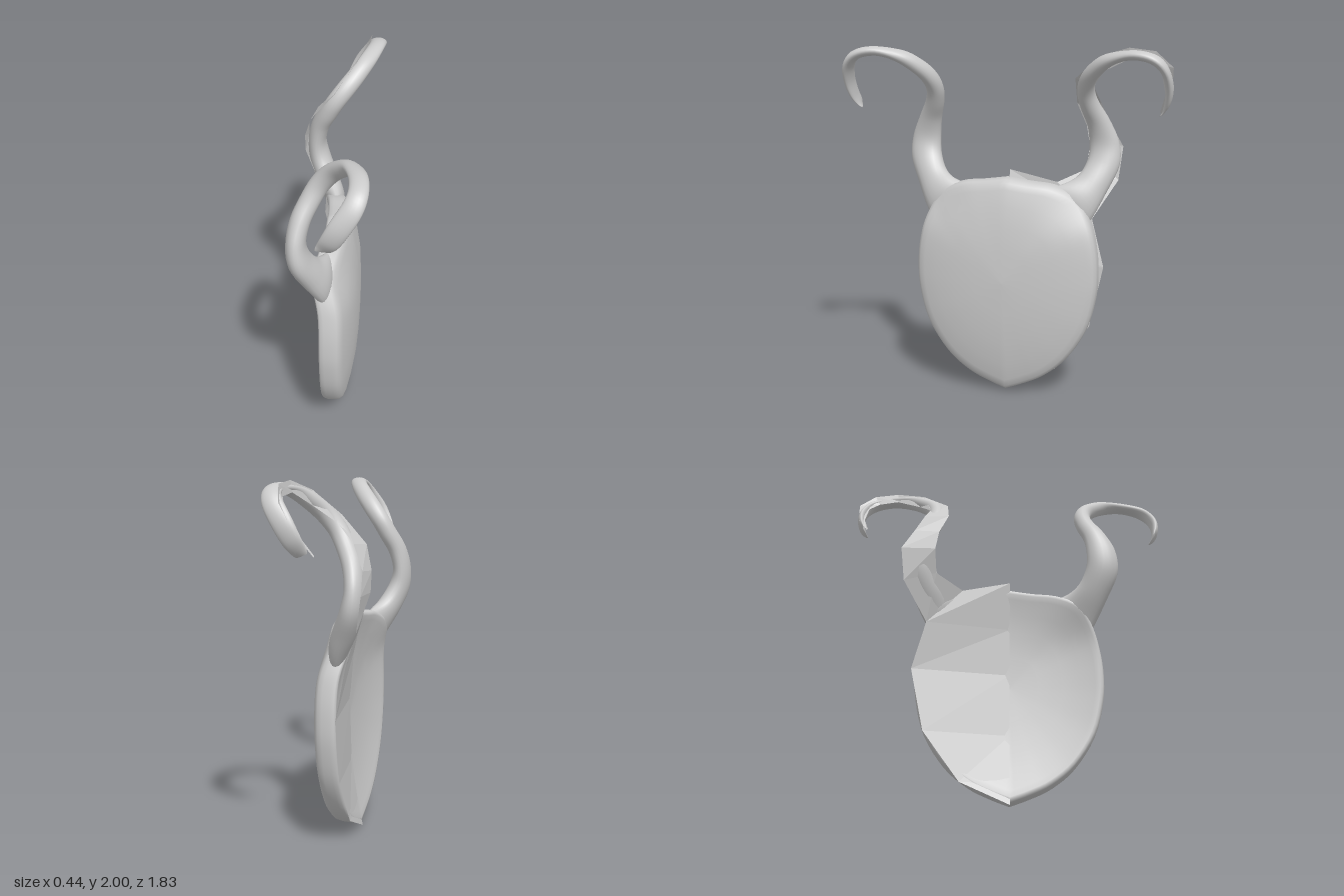
import * as THREE from 'three';

const material = new THREE.MeshStandardMaterial({ color: 0xcccccc, side: THREE.DoubleSide });
const facetMaterial = new THREE.MeshStandardMaterial({ color: 0xcccccc, side: THREE.DoubleSide, flatShading: true });

// Skin a list of rings (equal point counts) into a surface.
function skin(name, rings, closed, flip, mat) {
  const n = rings[0].length, index = [];
  for (let i = 0; i < rings.length - 1; i++) {
    for (let j = 0; j < (closed ? n : n - 1); j++) {
      const k = (j + 1) % n;
      const a = i * n + j, b = i * n + k, c = a + n, d = b + n;
      if (flip) index.push(a, c, b, b, c, d);
      else index.push(a, b, c, b, d, c);
    }
  }
  const geometry = new THREE.BufferGeometry().setFromPoints(rings.flat());
  geometry.setIndex(index);
  geometry.computeVertexNormals();
  const mesh = new THREE.Mesh(geometry, mat);
  mesh.name = name;
  return mesh;
}

const curve = (pts) => new THREE.CatmullRomCurve3(pts.map((p) => new THREE.Vector3(...p)), false, 'catmullrom');

// Shield-shaped plaque: outline rings shrinking towards a domed front and a dished back.
function makePlaque() {
  const half = curve([
    [0, 0.01, 0], [0, 0.05, 0.105], [0, 0.11, 0.225], [0, 0.22, 0.352], [0, 0.4, 0.465], [0, 0.6, 0.517],
    [0, 0.76, 0.525], [0, 0.9, 0.51], [0, 1.03, 0.475], [0, 1.16, 0.4], [0, 1.228, 0.27], [0, 1.248, 0.13], [0, 1.267, 0],
  ]).getPoints(48);
  const mirrored = half.slice(1, -1).reverse().map((p) => new THREE.Vector3(0, p.y, -p.z));
  const outline = [...half, ...mirrored];
  const centreY = 0.68;
  const profile = [ // scale, x
    [0, 0.015], [0.3, 0.01], [0.55, -0.005], [0.75, -0.025], [0.9, -0.047], [0.95, -0.055], [0.975, -0.054],
    [0.99, -0.045], [1, -0.025], [1, 0.02], [0.99, 0.045], [0.96, 0.062], [0.9, 0.076], [0.75, 0.097],
    [0.55, 0.117], [0.3, 0.13], [0, 0.135],
  ];
  const rings = profile.map(([s, x]) => outline.map((p) => {
    const y = centreY + (p.y - centreY) * s, z = p.z * s;
    // Shoulders lean back into the horns
    const lean = 0.05 * Math.exp(-(((y - 1.17) / 0.15) ** 2)) * Math.min(1, (z / 0.4) ** 2);
    return new THREE.Vector3(x - lean, y, z);
  }));
  return skin('plaque', rings, true, false, material);
}

// Horn stations: inner edge (z, y), outer edge (z, y), x of the middle, half width.
const HORN = [
  [0.22, 1.21, 0.42, 0.96, -0.02, 0.03],
  [0.32, 1.237, 0.48, 1.05, -0.045, 0.056],
  [0.39, 1.28, 0.545, 1.18, -0.095, 0.064],
  [0.43, 1.36, 0.61, 1.33, -0.145, 0.06],
  [0.437, 1.45, 0.605, 1.46, -0.16, 0.052],
  [0.425, 1.56, 0.555, 1.58, -0.138, 0.052],
  [0.395, 1.66, 0.5, 1.68, -0.09, 0.052],
  [0.383, 1.75, 0.48, 1.75, -0.045, 0.052],
  [0.405, 1.83, 0.495, 1.815, 0.01, 0.052],
  [0.46, 1.9, 0.54, 1.865, 0.065, 0.05],
  [0.55, 1.96, 0.61, 1.915, 0.12, 0.047],
  [0.7, 1.99, 0.7, 1.938, 0.16, 0.046],
  [0.82, 1.97, 0.79, 1.925, 0.168, 0.048],
  [0.885, 1.91, 0.845, 1.88, 0.145, 0.052],
  [0.912, 1.81, 0.868, 1.8, 0.09, 0.054],
  [0.9, 1.72, 0.865, 1.72, 0.045, 0.05],
  [0.855, 1.647, 0.85, 1.652, 0.005, 0.038],
];

// Curled horn with elliptical sections spanning its inner and outer edges.
function makeHorn(name, side) {
  const inner = curve(HORN.map((h) => [h[4], h[1], h[0]]));
  const outer = curve(HORN.map((h) => [h[4], h[3], h[2]]));
  const width = curve(HORN.map((h) => [h[5], 0, 0]));
  const middle = (t) => inner.getPoint(t).add(outer.getPoint(t)).multiplyScalar(0.5);
  const steps = 80, sides = 20, rings = [];
  for (let i = 0; i <= steps; i++) {
    const t = i / steps;
    const centre = middle(t);
    const radial = outer.getPoint(t).sub(inner.getPoint(t)).multiplyScalar(0.5);
    const tangent = middle(Math.min(1, t + 0.005)).sub(middle(Math.max(0, t - 0.005)));
    const lateral = tangent.cross(radial).normalize().multiplyScalar(width.getPoint(t).x);
    const ring = [];
    for (let j = 0; j < sides; j++) {
      const a = (j / sides) * Math.PI * 2;
      const p = centre.clone().addScaledVector(radial, Math.cos(a)).addScaledVector(lateral, Math.sin(a));
      ring.push(new THREE.Vector3(p.x, p.y, p.z * side));
    }
    rings.push(ring);
  }
  const tip = middle(1);
  rings.push(rings[0].map(() => new THREE.Vector3(tip.x, tip.y, tip.z * side)));
  return skin(name, rings, true, side > 0, material);
}

// Faceted back panel lofted between pairs of inner and outer edge points (x, y, z).
function makePanel(name, pairs) {
  const rings = pairs.map((pair) => pair.map((p) => new THREE.Vector3(...p)));
  return skin(name, rings, false, true, facetMaterial);
}

export function createModel() {
  const group = new THREE.Group();
  group.name = 'hornedPlaque';
  group.add(makePlaque(), makeHorn('leftHorn', 1), makeHorn('rightHorn', -1));

  // Faceted backing behind one half only
  group.add(makePanel('plaqueBacking', [
    [[-0.062, 0, 0], [-0.062, 0, -0.002]],
    [[-0.035, 0.12, 0], [-0.062, 0.12, -0.27]],
    [[0.006, 0.4, 0], [-0.062, 0.4, -0.47]],
    [[0.016, 0.76, 0], [-0.062, 0.76, -0.545]],
    [[-0.008, 1.03, 0], [-0.095, 1.03, -0.47]],
    [[-0.065, 1.3, 0], [-0.085, 1.235, -0.27]],
  ]));
  group.add(makePanel('hornBacking', [
    [[-0.085, 1.235, -0.27], [-0.095, 1.03, -0.47]],
    [[-0.17, 1.3, -0.42], [-0.19, 1.24, -0.6]],
    [[-0.22, 1.43, -0.43], [-0.22, 1.43, -0.62]],
    [[-0.22, 1.54, -0.41], [-0.21, 1.55, -0.55]],
    [[-0.18, 1.67, -0.36], [-0.15, 1.68, -0.5]],
    [[-0.05, 1.82, -0.37], [-0.06, 1.78, -0.47]],
    [[0.06, 1.95, -0.52], [0.05, 1.87, -0.54]],
    [[0.12, 2, -0.68], [0.11, 1.94, -0.68]],
    [[0.13, 1.985, -0.82], [0.12, 1.925, -0.79]],
    [[0.1, 1.9, -0.91], [0.09, 1.87, -0.85]],
    [[0.02, 1.75, -0.9], [0.02, 1.75, -0.865]],
    [[-0.05, 1.64, -0.84], [-0.05, 1.65, -0.835]],
  ]));
  return group;
}
